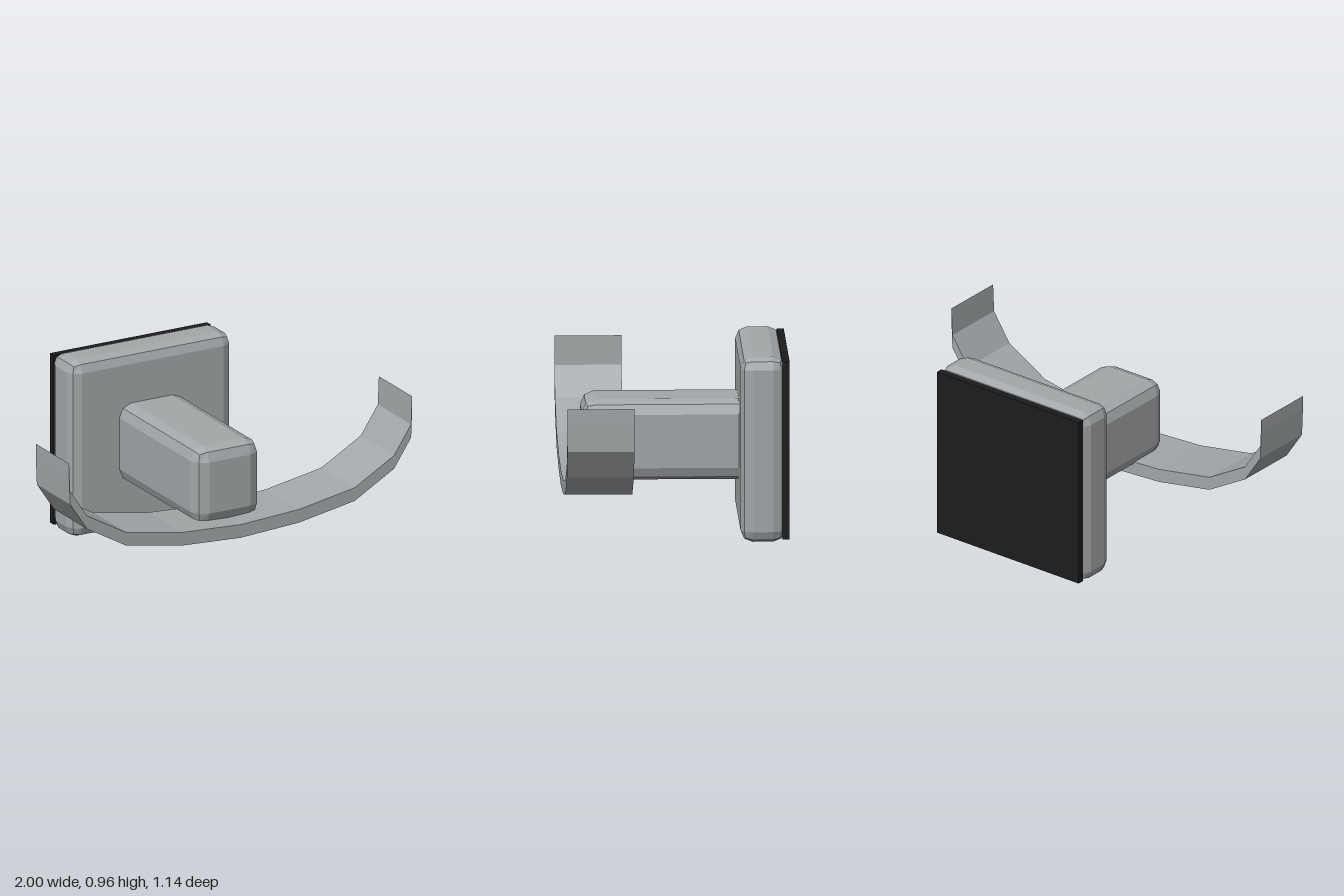
import * as THREE from 'three';
import { RoundedBoxGeometry } from 'three/addons/geometries/RoundedBoxGeometry.js';

export function createModel() {
  const model = new THREE.Group();
  model.name = 'wallHook';
  const metal = new THREE.MeshStandardMaterial({ name: 'brushed metal', color: 0xa3a7a9, flatShading: true });
  const black = new THREE.MeshStandardMaterial({ name: 'black pad', color: 0x1c1c1c, flatShading: true });

  const add = (name, geometry, material, x, y, z) => {
    const mesh = new THREE.Mesh(geometry, material);
    mesh.name = name;
    mesh.position.set(x, y, z);
    model.add(mesh);
    return mesh;
  };

  // Wall plate with bevelled edges, and the adhesive pad behind it
  add('wallPlate', new RoundedBoxGeometry(0.945, 0.953, 0.225, 1, 0.06), metal, 0, 0.488, -0.438);
  add('backPad', new THREE.BoxGeometry(0.914, 0.914, 0.036), black, 0, 0.488, -0.555);

  // Arm reaching forward from the plate
  add('arm', new RoundedBoxGeometry(0.38, 0.415, 0.92, 1, 0.07), metal, -0.005, 0.4875, 0.01);

  // Set screw under the plate
  add('setScrew', new THREE.CylinderGeometry(0.038, 0.038, 0.025, 12), metal, 0, 0.0125, -0.382);

  // Curved hook: a band of constant vertical thickness, mirrored about x = 0
  const half = [[0.34, 0.25], [0.665, 0.308], [0.895, 0.44], [0.994, 0.59], [1, 0.74]];
  const lower = [
    ...half.map(([x, y]) => [-x, y]).reverse(),
    [0, 0.23],
    ...half,
  ];
  const upper = lower.map(([x, y]) => [x, y + 0.071]).reverse();
  const band = new THREE.Shape([...lower, ...upper].map(([x, y]) => new THREE.Vector2(x, y)));
  add('hookBand', new THREE.ExtrudeGeometry(band, { depth: 0.34, bevelEnabled: false }), metal, 0, 0, 0.231);

  return model;
}
